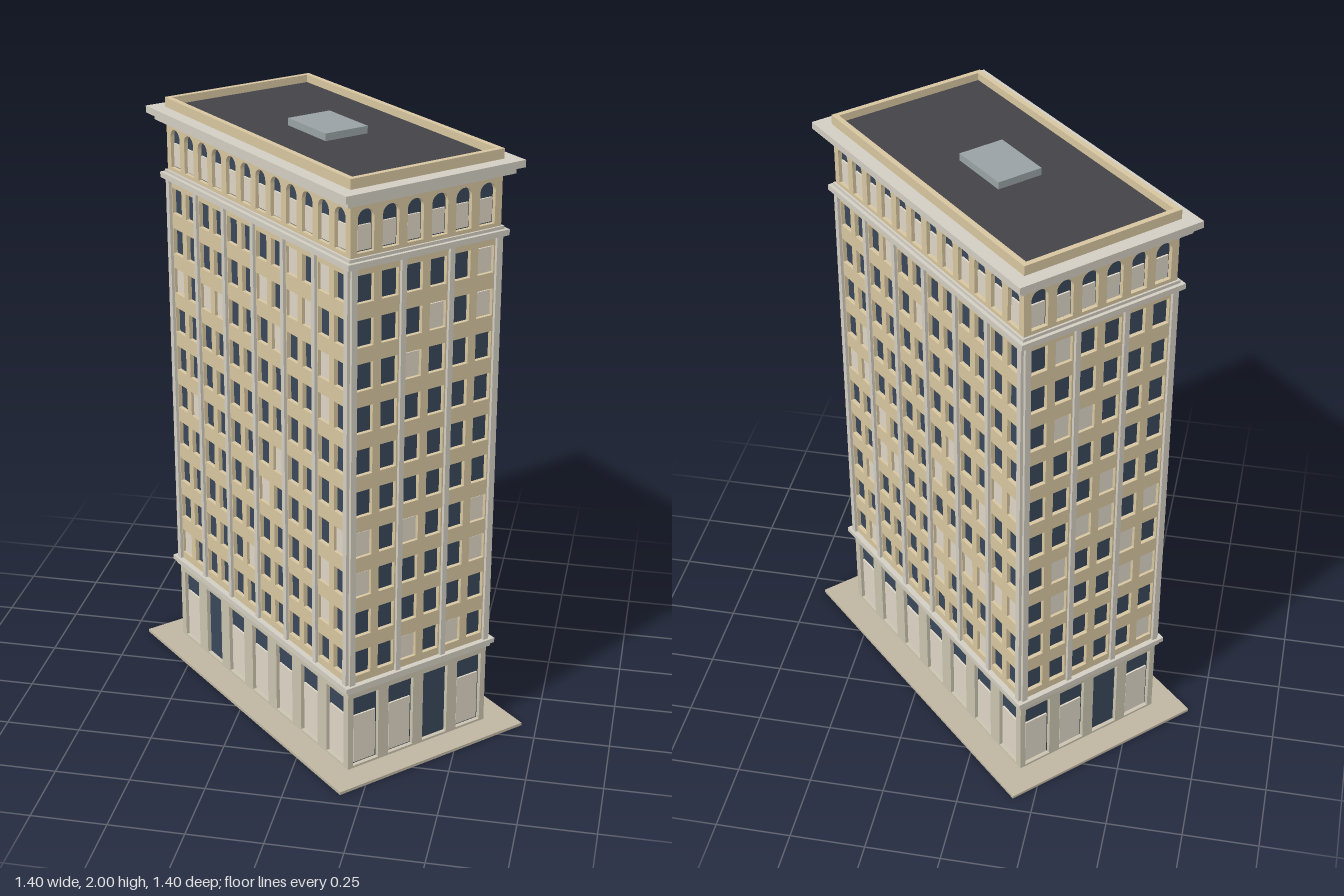
import * as THREE from 'three';
import { mergeGeometries } from 'three/addons/utils/BufferGeometryUtils.js';

const L = 0.532, S = 0.276;   // half length and half depth of the tower
const T = 0.014;              // wall thickness = window recess

const mat = (color) => new THREE.MeshStandardMaterial({ color, flatShading: true });
const M = {
  brick: mat(0xd8c6a0), stone: mat(0xd3cec2), base: mat(0xcbc4b0), glass: mat(0x3a485a),
  blind: mat(0xded6c6), roof: mat(0x444348), metal: mat(0x99a2a5), ground: mat(0xbfb7a3),
};

// small seeded generator for the lowered blinds
let seed = 7;
const rand = () => (seed = (seed * 16807) % 2147483647) / 2147483647;

function add(parent, name, geometry, material) {
  const mesh = new THREE.Mesh(geometry, material);
  mesh.name = name;
  parent.add(mesh);
  return mesh;
}

// box between two heights
function box(w, y0, y1, d, x = 0, z = 0) {
  return new THREE.BoxGeometry(w, y1 - y0, d).translate(x, (y0 + y1) / 2, z);
}

// slab around the whole tower, projecting by m
const slab = (m, y0, y1) => box(2 * (L + m), y0, y1, 2 * (S + m));

function rect(Type, x0, y0, x1, y1) {
  const p = new Type();
  p.moveTo(x0, y0);
  p.lineTo(x1, y0);
  p.lineTo(x1, y1);
  p.lineTo(x0, y1);
  p.closePath();
  return p;
}

function arch(Type, x, y0, y1, w) {
  const p = new Type(), r = w / 2;
  p.moveTo(x - r, y0);
  p.lineTo(x + r, y0);
  p.lineTo(x + r, y1 - r);
  p.absarc(x, y1 - r, r, 0, Math.PI, false);
  p.closePath();
  return p;
}

// wall panel with openings, outer face on z = 0
function wall(w, y0, y1, holes) {
  const shape = rect(THREE.Shape, -w / 2, y0, w / 2, y1);
  shape.holes.push(...holes);
  return new THREE.ExtrudeGeometry(shape, { depth: T, bevelEnabled: false, curveSegments: 8 }).translate(0, 0, -T);
}

const spread = (n, w) => Array.from({ length: n }, (_, i) => ((i + 0.5) / n - 0.5) * w);

// one side of the tower, built facing +z
function facade(name, w, bays, shops, door) {
  const g = new THREE.Group();
  g.name = name;
  const cols = spread(bays * 2, w - 0.02);
  const blinds = [];
  const blindZ = -T + 0.002;

  // ground floor with shop windows and a door
  const shopHoles = spread(shops, w).map((x, i) => {
    if (i !== door) blinds.push(box(0.084, 0.025, 0.2, 0.008, x, blindZ));
    return rect(THREE.Path, x - 0.049, 0.018, x + 0.049, 0.272);
  });
  add(g, 'groundFloorWall', wall(w, 0.01, 0.31, shopHoles), M.base);

  // shaft with ten rows of windows
  const holes = [];
  for (let row = 0; row < 10; row++) {
    const y = 0.397 + row * 0.14;
    for (const x of cols) {
      holes.push(rect(THREE.Path, x - 0.03, y - 0.044, x + 0.03, y + 0.044));
      if (rand() < 0.2) blinds.push(box(0.054, y - 0.042, y + 0.038, 0.008, x, blindZ));
    }
  }
  add(g, 'shaftWall', wall(w, 0.31, 1.74, holes), M.brick);

  // arcaded top floor
  const arches = cols.map((x) => {
    blinds.push(box(0.046, 1.775, 1.852, 0.008, x, blindZ));
    return arch(THREE.Path, x, 1.77, 1.902, 0.058);
  });
  add(g, 'arcadeWall', wall(w, 1.74, 1.95, arches), M.brick);
  add(g, 'blinds', mergeGeometries(blinds), M.blind);

  // pilasters between the bays
  const pilasters = [];
  for (let i = 0; i <= bays; i++) {
    const end = i === 0 || i === bays;
    const x = (i / bays - 0.5) * (w - 0.02);
    pilasters.push(box(end ? 0.02 : 0.018, 0.32, 1.735, 0.02, x, 0));
  }
  add(g, 'pilasters', mergeGeometries(pilasters), M.stone);
  return g;
}

export function createModel() {
  const model = new THREE.Group();
  model.name = 'officeTower';
  const tower = new THREE.Group();
  tower.name = 'tower';
  tower.rotation.y = -Math.PI / 4;
  model.add(tower);

  add(tower, 'pavement', box(1.246, 0, 0.01, 0.736), M.ground);
  add(tower, 'glazing', slab(-T, 0.01, 1.95), M.glass);

  // four sides: width, distance from centre, turn, bays, shops, door position
  const sides = [
    ['frontLongSide', 2 * L, S, 0, 6, 7, 1],
    ['frontShortSide', 2 * S, L, Math.PI / 2, 3, 4, 2],
    ['backLongSide', 2 * L, S, Math.PI, 6, 7, -1],
    ['backShortSide', 2 * S, L, -Math.PI / 2, 3, 4, 2],
  ];
  for (const [name, w, dist, turn, bays, shops, door] of sides) {
    const side = facade(name, w, bays, shops, door);
    side.rotation.y = turn;
    side.position.set(Math.sin(turn) * dist, 0, Math.cos(turn) * dist);
    tower.add(side);
  }

  // string courses and cornice: projection, bottom, top
  const bands = [
    ['lowerStringCourse', 0.010, 0.297, 0.311], ['lowerStringCourse', 0.019, 0.311, 0.327],
    ['upperStringCourse', 0.019, 1.729, 1.748], ['upperStringCourse', 0.007, 1.748, 1.758],
    ['corniceBed', 0.028, 1.924, 1.945], ['cornice', 0.048, 1.945, 1.968],
  ];
  for (const [name, m, y0, y1] of bands) add(tower, name, slab(m, y0, y1), M.stone);

  // parapet ring, roof deck and rooftop hut
  const ring = rect(THREE.Shape, -L - 0.002, -S - 0.002, L + 0.002, S + 0.002);
  ring.holes.push(rect(THREE.Path, -L + 0.016, -S + 0.016, L - 0.016, S - 0.016));
  const parapet = new THREE.ExtrudeGeometry(ring, { depth: 0.035, bevelEnabled: false });
  add(tower, 'parapet', parapet.rotateX(-Math.PI / 2).translate(0, 1.965, 0), M.brick);
  add(tower, 'roofDeck', slab(-0.015, 1.96, 1.975), M.roof);
  add(tower, 'rooftopHut', box(0.212, 1.97, 1.999, 0.156), M.metal);

  return model;
}
